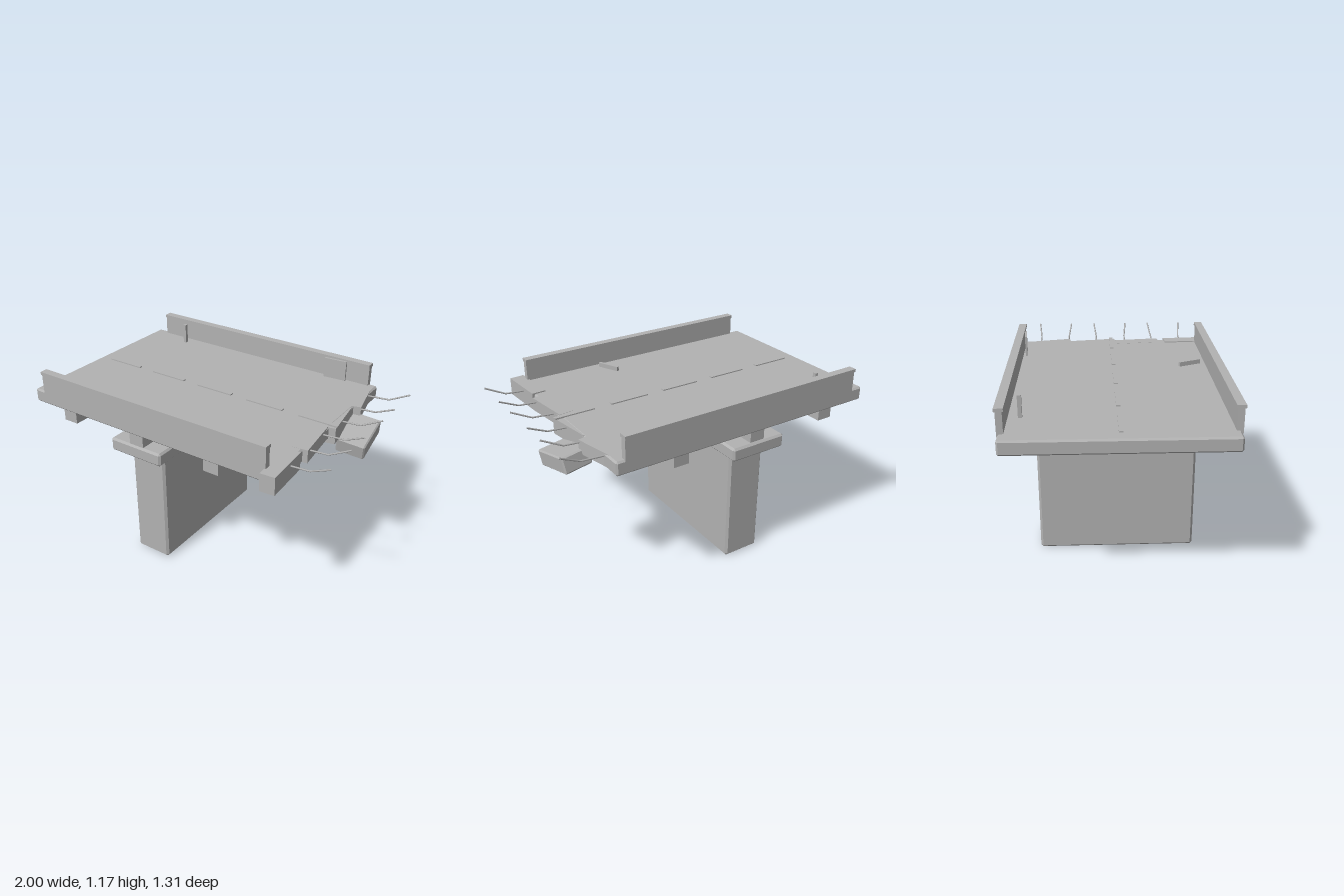
import * as THREE from 'three';
import { ConvexGeometry } from 'three/addons/geometries/ConvexGeometry.js';

const concrete = new THREE.MeshStandardMaterial({ color: 0xb2b2b2 });
concrete.name = 'concrete grey';

// Box with flat chamfered edges, centred on its origin
function chamferBox(w, h, d, c) {
  const points = [];
  for (const x of [-1, 1]) for (const y of [-1, 1]) for (const z of [-1, 1]) {
    for (let axis = 0; axis < 3; axis++) {
      const inset = [c, c, c];
      inset[axis] = 0;
      points.push(new THREE.Vector3(
        x * (w / 2 - inset[0]), y * (h / 2 - inset[1]), z * (d / 2 - inset[2])));
    }
  }
  return new ConvexGeometry(points);
}

export function createModel() {
  const model = new THREE.Group();
  model.name = 'brokenBridge';

  function add(name, geometry, position = [0, 0, 0], rotation = [0, 0, 0]) {
    const mesh = new THREE.Mesh(geometry, concrete);
    mesh.name = name;
    mesh.position.set(...position);
    mesh.rotation.set(...rotation);
    model.add(mesh);
    return mesh;
  }

  // Part given by its limits along x, y and z
  function block(name, [x0, x1], [y0, y1], [z0, z1], chamfer = 0) {
    const size = [x1 - x0, y1 - y0, z1 - z0];
    const geometry = chamfer ? chamferBox(...size, chamfer) : new THREE.BoxGeometry(...size);
    return add(name, geometry, [(x0 + x1) / 2, (y0 + y1) / 2, (z0 + z1) / 2]);
  }

  // Pier and its cap
  block('pier', [-0.355, -0.11], [0, 0.765], [-0.498, 0.456], 0.014);
  block('pierCap', [-0.416, -0.044], [0.765, 0.85], [-0.612, 0.57], 0.012);

  // Cross beams under the deck
  for (const x of [-0.722, -0.197, 0.331]) {
    block('crossBeam', [x - 0.049, x + 0.049], [0.873, 0.95], [-0.628, 0.589]);
  }

  // Road deck
  block('deck', [-1, 0.74], [0.942, 1.027], [-0.647, 0.597], 0.01);

  // Parapets with a slightly wider coping
  for (const [name, z] of [['frontParapet', 0.588], ['backParapet', -0.633]]) {
    block(name, [-0.913, 0.688], [1.01, 1.15], [z - 0.018, z + 0.018]);
    block(name + 'Coping', [-0.915, 0.69], [1.147, 1.166], [z - 0.025, z + 0.025]);
  }

  // Dashed centre line
  for (let i = 0; i < 5; i++) {
    const x = -0.915 + i * 0.362;
    block('laneDash', [x, x + 0.25], [1.025, 1.034], [-0.032, -0.008]);
  }

  // Broken slabs along the torn edge: x, y, z, width, height, length, turn
  const slabs = [
    [0.717, 0.98, 0.504, 0.09, 0.108, 0.297, 0.065],
    [0.708, 0.988, 0.165, 0.09, 0.08, 0.3, 0.12],
    [0.715, 0.975, -0.135, 0.09, 0.1, 0.295, 0.15],
    [0.706, 0.987, -0.462, 0.09, 0.08, 0.32, 0.22],
  ];
  for (const [x, y, z, w, h, d, turn] of slabs) {
    add('brokenSlab', new THREE.BoxGeometry(w, h, d), [x, y, z], [0, turn, 0]);
  }

  // Chunk hanging below the torn edge
  add('hangingChunk', chamferBox(0.175, 0.1, 0.27, 0.008), [0.825, 0.895, -0.22], [0.22, 0.08, -0.12]);

  // Bent reinforcing bars: root z and tip z
  const bars = [[0.472, 0.488], [0.275, 0.258], [0.078, 0.093], [-0.122, -0.138], [-0.322, -0.304], [-0.517, -0.533]];
  for (const [z0, z1] of bars) {
    const path = new THREE.CurvePath();
    const points = [
      new THREE.Vector3(0.68, 1.005, z0),
      new THREE.Vector3(0.875, 1.02, z0 + (z1 - z0) * 0.1),
      new THREE.Vector3(0.998, 1.08, z1),
    ];
    path.add(new THREE.LineCurve3(points[0], points[1]));
    path.add(new THREE.LineCurve3(points[1], points[2]));
    add('rebar', new THREE.TubeGeometry(path, 12, 0.005, 6));
  }

  // Loose pieces on the road
  add('leaningPanel', new THREE.BoxGeometry(0.145, 0.13, 0.014), [0.465, 1.09, -0.598], [0, 0.08, 0]);
  add('thinPost', new THREE.BoxGeometry(0.02, 0.135, 0.022), [-0.692, 1.088, -0.548]);
  add('fallenStrip', new THREE.BoxGeometry(0.018, 0.03, 0.148), [0.163, 1.04, 0.467], [0, 0.42, 0]);

  return model;
}
